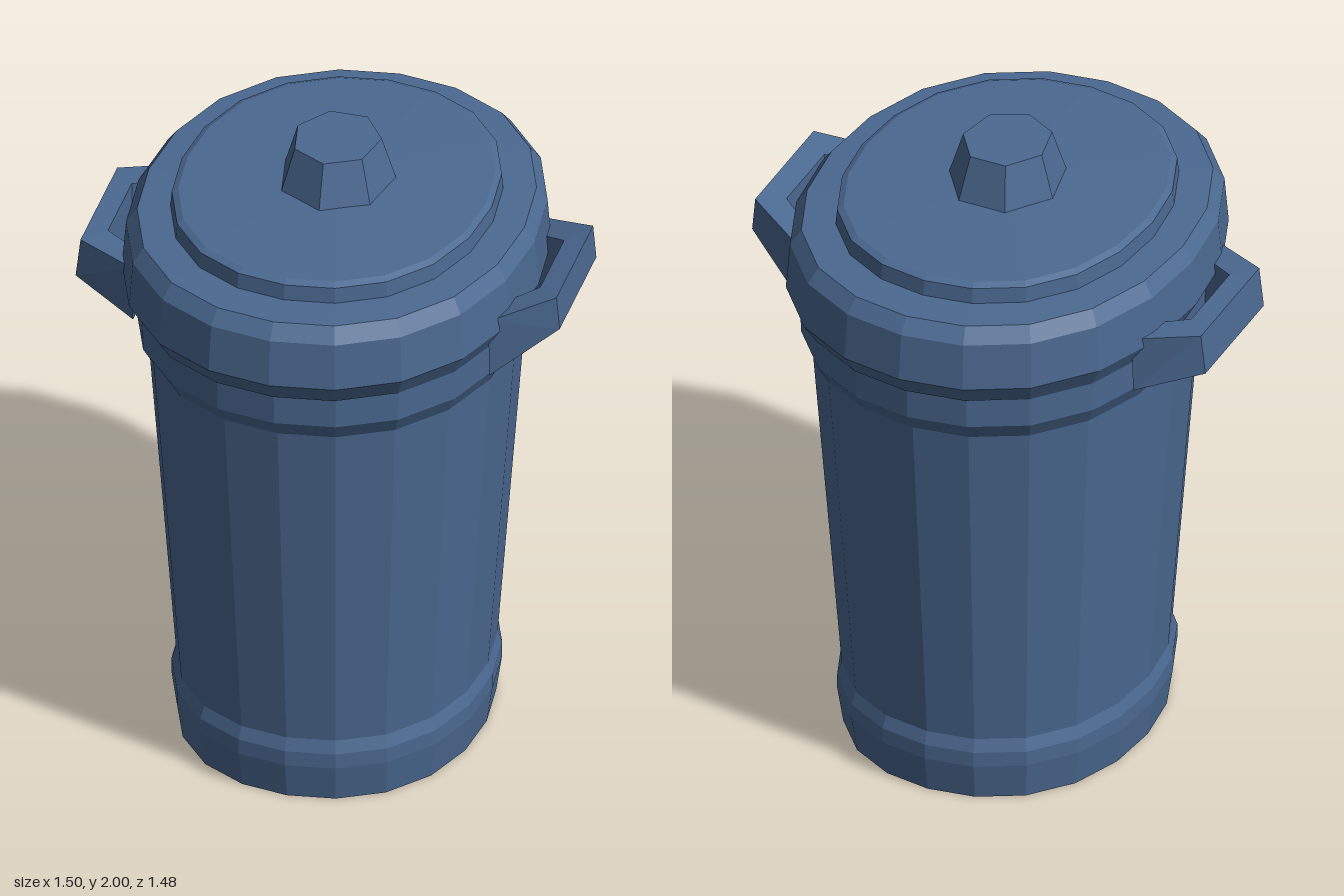
import * as THREE from 'three';

const SIDES = 20;

// Faceted oval turned from a profile of [depth radius, height] pairs, bottom to top.
function ovalLathe(profile, widthRatio) {
  const geo = new THREE.LatheGeometry(profile.map(([r, y]) => new THREE.Vector2(r, y)), SIDES);
  const pos = geo.attributes.position;
  for (let i = 0; i < pos.count; i++) {
    const x = pos.getX(i), z = pos.getZ(i);
    // slightly fuller between the four axes
    const swell = 1 + 0.025 * Math.pow(Math.sin(2 * Math.atan2(x, z)), 2);
    pos.setX(i, x * widthRatio * swell);
    pos.setZ(i, z * swell);
  }
  geo.computeVertexNormals();
  return geo;
}

// Bent bar handle: four-cornered sections at root, corner, corner, root.
// Each section is [x, y, z] for outer top, outer bottom, inner bottom, inner top.
function handleGeometry(side, root, corner) {
  const flip = section => section.map(([x, y, z]) => [x, y, -z]);
  const stations = [root, corner, flip(corner), flip(root)];
  const positions = stations.flat().flatMap(([x, y, z]) => [x * side, y, z]);
  const index = [];
  const quad = (a, b, c, d) => index.push(...(side > 0 ? [a, b, c, a, c, d] : [a, c, b, a, d, c]));
  for (let s = 0; s < 3; s++) {
    for (let k = 0; k < 4; k++) {
      const n = (k + 1) % 4;
      quad(s * 4 + k, s * 4 + n, s * 4 + 4 + n, s * 4 + 4 + k);
    }
  }
  quad(3, 2, 1, 0);
  quad(12, 13, 14, 15);
  const geo = new THREE.BufferGeometry();
  geo.setAttribute('position', new THREE.Float32BufferAttribute(positions, 3));
  geo.setIndex(index);
  geo.computeVertexNormals();
  return geo;
}

export function createModel() {
  const group = new THREE.Group();
  const blue = new THREE.MeshStandardMaterial({ color: 0x4b6991, flatShading: true });
  blue.name = 'blue';
  const add = (name, geo) => {
    const mesh = new THREE.Mesh(geo, blue);
    mesh.name = name;
    group.add(mesh);
    return mesh;
  };

  // Tapered bin with a foot band and a collar under the lid
  add('body', ovalLathe([
    [0, 0], [0.545, 0], [0.565, 0.12], [0.565, 0.17], [0.55, 0.21],
    [0.648, 1.36], [0.685, 1.42], [0.69, 1.56],
  ], 0.85));

  // Lid with an overhanging rim and a raised disc
  add('lid', ovalLathe([
    [0.64, 1.55], [0.695, 1.52], [0.742, 1.59], [0.728, 1.74], [0.69, 1.785],
    [0.575, 1.79], [0.57, 1.84], [0.548, 1.85], [0, 1.87],
  ], 0.84));

  // Seven-sided grip
  const knob = add('knob', new THREE.CylinderGeometry(0.14, 0.185, 0.14, 7));
  knob.scale.set(0.95, 1, 1.05);
  knob.position.y = 1.93;

  // Side handles, the left one tilted up higher
  add('leftHandle', handleGeometry(1,
    [[0.55, 1.63, 0.29], [0.55, 1.43, 0.28], [0.55, 1.42, 0.19], [0.55, 1.63, 0.2]],
    [[0.735, 1.69, 0.2], [0.745, 1.58, 0.2], [0.665, 1.5, 0.13], [0.665, 1.67, 0.13]]));
  add('rightHandle', handleGeometry(-1,
    [[0.55, 1.62, 0.29], [0.55, 1.43, 0.28], [0.55, 1.43, 0.19], [0.55, 1.62, 0.2]],
    [[0.735, 1.63, 0.2], [0.75, 1.5, 0.2], [0.67, 1.47, 0.13], [0.67, 1.63, 0.13]]));

  return group;
}
